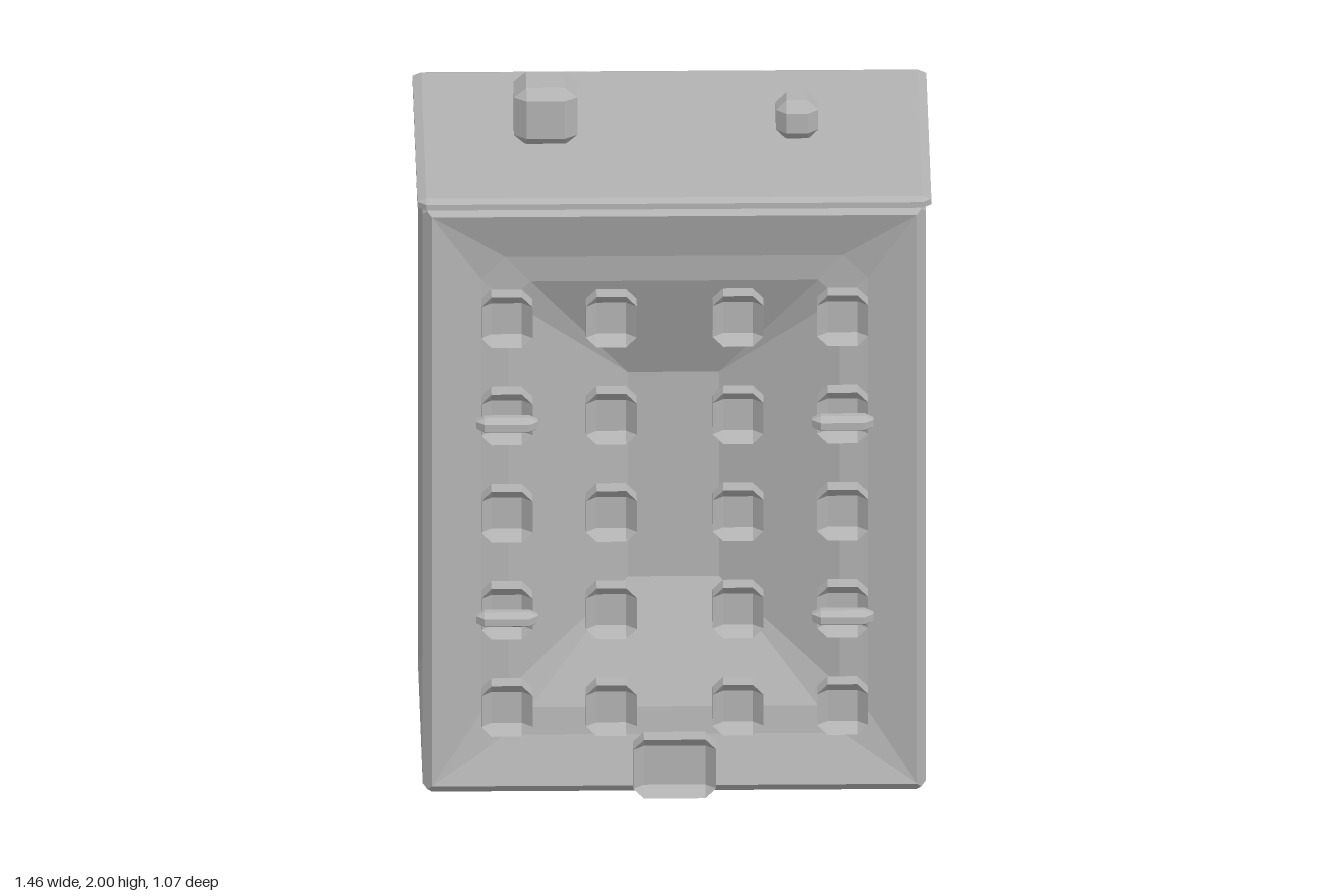
import * as THREE from 'three';
import { ConvexGeometry } from 'three/addons/geometries/ConvexGeometry.js';

const concrete = new THREE.MeshStandardMaterial({ color: 0xb3b3b3 });
concrete.name = 'concrete grey';

// Eight-sided ring: a w x h rectangle, shrunk by inset, corners cut by chop, at height z
function ring(w, h, [inset, z, chop]) {
  const a = w / 2 - inset, b = h / 2 - inset, c = chop;
  return [[a, c - b], [a, b - c], [a - c, b], [c - a, b], [-a, b - c], [-a, c - b], [c - a, -b], [a - c, -b]]
    .map(([x, y]) => new THREE.Vector3(x, y, z));
}

// Flat-shaded panel facing +z, stepping through rings from the outside to the middle
function panel(w, h, steps, closedBack = false) {
  const rings = steps.map((s) => ring(w, h, s));
  const pos = [];
  const tri = (...pts) => {
    const area = new THREE.Triangle(...pts).getArea();
    if (area > 1e-8) pts.forEach((p) => pos.push(p.x, p.y, p.z));
  };
  for (let r = 0; r + 1 < rings.length; r++) {
    const o = rings[r], n = rings[r + 1];
    for (let i = 0; i < 8; i++) {
      const j = (i + 1) % 8;
      tri(o[i], o[j], n[j]);
      tri(o[i], n[j], n[i]);
    }
  }
  const last = rings[rings.length - 1], first = rings[0];
  for (let i = 1; i < 7; i++) {
    tri(last[0], last[i], last[i + 1]);
    if (closedBack) tri(first[0], first[i + 1], first[i]);
  }
  const g = new THREE.BufferGeometry();
  g.setAttribute('position', new THREE.Float32BufferAttribute(pos, 3));
  g.computeVertexNormals();
  return g;
}

// Box with bevelled edges, given its two extreme corners
function bevelBox(min, max, bevel) {
  const pts = [];
  for (let i = 0; i < 8; i++) {
    for (let axis = 0; axis < 3; axis++) {
      const p = [0, 1, 2].map((k) => {
        const high = (i >> k) & 1;
        const inset = k === axis ? 0 : bevel[k];
        return high ? max[k] - inset : min[k] + inset;
      });
      pts.push(new THREE.Vector3(...p));
    }
  }
  return new ConvexGeometry(pts);
}

export function createModel() {
  const model = new THREE.Group();
  const add = (name, geometry, x = 0, y = 0, z = 0, parent = model) => {
    const mesh = new THREE.Mesh(geometry, concrete);
    mesh.name = name;
    mesh.position.set(x, y, z);
    parent.add(mesh);
    return mesh;
  };

  // Main block: every panel carries half of the bevel on its edges
  const W = 1.43, H = 1.8, D = 0.945, midZ = -0.0375, bevel = 0.026;
  const edge = [[bevel / 2, -bevel / 2, 0], [bevel, 0, 0]];
  const dished = (k) => [...edge,
    [bevel + 0.14 * k, -0.045 * k, 0.07 * k],
    [bevel + 0.22 * k, -0.055 * k, 0.06 * k],
    [bevel + 0.56 * k, -0.2 * k, 0]];
  const wide = panel(W, H, dished(1));
  const narrow = panel(D, H, dished(0.68));
  const slab = panel(W, D, edge);
  add('frontWall', wide, 0, H / 2, midZ + D / 2);
  add('backWall', wide, 0, H / 2, midZ - D / 2).rotation.y = Math.PI;
  add('leftWall', narrow, W / 2, H / 2, midZ).rotation.y = Math.PI / 2;
  add('rightWall', narrow, -W / 2, H / 2, midZ).rotation.y = -Math.PI / 2;
  add('ceiling', slab, 0, H, midZ).rotation.x = -Math.PI / 2;
  add('floor', slab, 0, 0, midZ).rotation.x = Math.PI / 2;

  // Roof slab and the two rooftop blocks
  add('roof', bevelBox([-0.73, 1.795, -0.535], [0.73, 1.83, 0.455], [0.025, 0.009, 0.025]));
  add('largeChimney', bevelBox([-0.45, 1.825, -0.13], [-0.27, 2, 0.05], [0.035, 0.03, 0.03]));
  add('smallChimney', bevelBox([0.295, 1.825, -0.1], [0.415, 1.945, 0.02], [0.03, 0.03, 0.03]));

  // Windows: shallow trays with cut corners, in five rows of four
  const tray = (w, h) => panel(w, h, [[0, -0.06, 0.03], [0, 0, 0.03], [0.03, -0.03, 0]], true);
  const windowShape = tray(0.145, 0.155);
  const balconyShape = bevelBox([-0.0875, -0.0225, -0.035], [0.0875, 0.0225, 0.035], [0.025, 0.012, 0.025]);
  const windows = new THREE.Group();
  windows.name = 'windows';
  const balconies = new THREE.Group();
  balconies.name = 'balconies';
  model.add(windows, balconies);
  for (let row = 0; row < 5; row++) {
    const y = 0.27 + row * 0.2985;
    for (const x of [-0.477, -0.18, 0.18, 0.477]) {
      add('window', windowShape, x, y, 0.47, windows);
      // Balconies on the outer columns of every second row
      if (row % 2 === 1 && Math.abs(x) > 0.3) add('balcony', balconyShape, x, y, 0.499, balconies);
    }
  }

  add('door', tray(0.235, 0.18), 0, 0.09, 0.47);
  return model;
}
